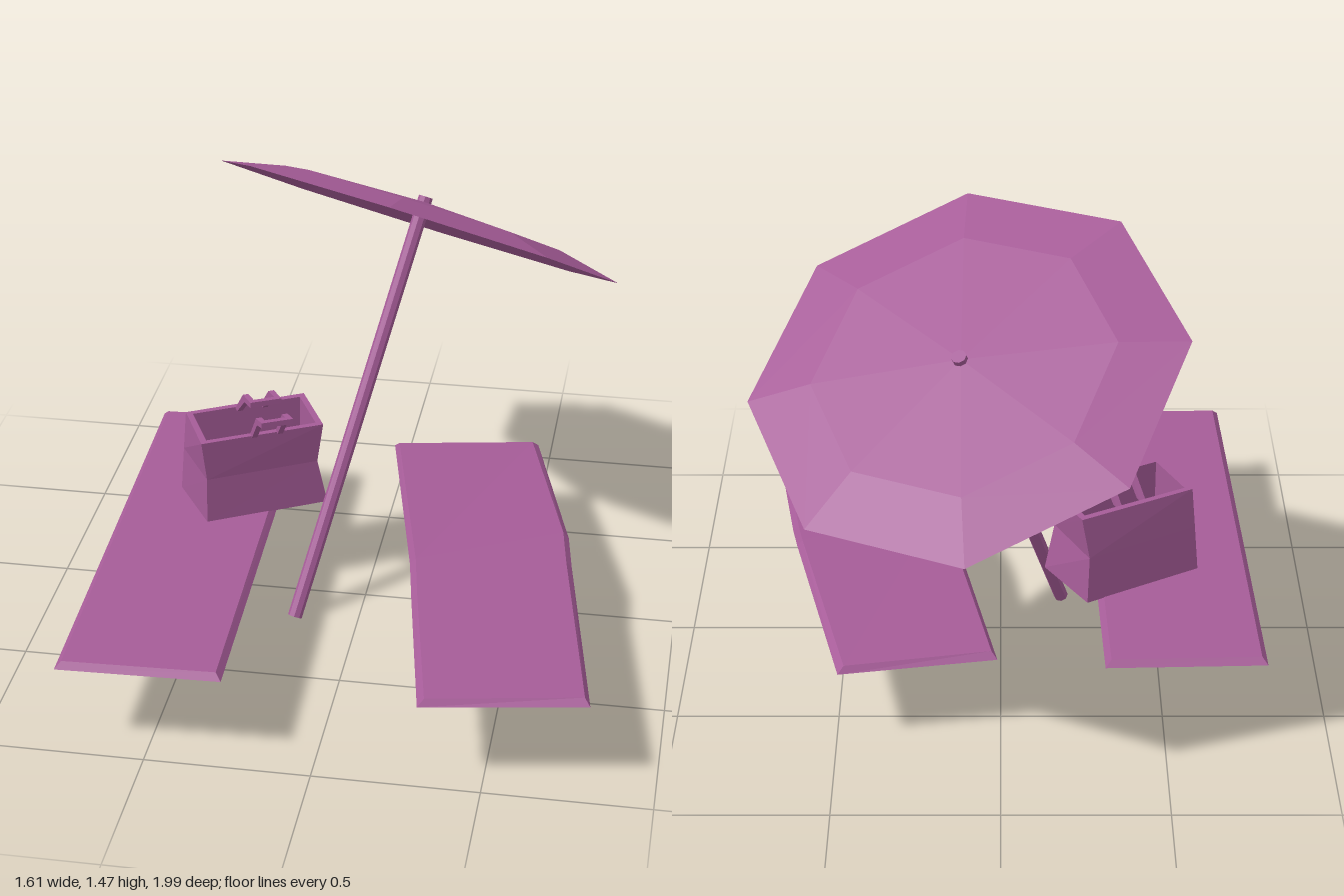
import * as THREE from 'three';

const V = (x, y, z) => new THREE.Vector3(x, y, z);

// Skin a stack of equal-length point loops and cap both ends
function loft(loops) {
  const pos = [];
  const quad = (a, b, c, d) => [a, b, c, a, c, d].forEach((p) => pos.push(...p));
  for (let i = 0; i < loops.length - 1; i++) {
    for (let j = 0; j < 4; j++) {
      const k = (j + 1) % 4;
      quad(loops[i][j], loops[i][k], loops[i + 1][k], loops[i + 1][j]);
    }
  }
  const s = loops[0], e = loops[loops.length - 1];
  quad(s[3], s[2], s[1], s[0]);
  quad(e[0], e[1], e[2], e[3]);
  const g = new THREE.BufferGeometry();
  g.setAttribute('position', new THREE.Float32BufferAttribute(pos, 3));
  g.computeVertexNormals();
  return g;
}

// Towel with bevelled edges; each station is [leftX, leftZ, rightX, rightZ, y], back to front
function towelGeometry(stations) {
  const inset = 0.018, thick = 0.02, last = stations.length - 1;
  return loft(stations.map(([lx, lz, rx, rz, y], i) => {
    const dz = i === 0 ? inset : i === last ? -inset : 0;
    return [
      [lx, y, lz], [rx, y, rz],
      [rx - inset, y + thick, rz + dz], [lx + inset, y + thick, lz + dz],
    ];
  }));
}

export function createModel() {
  const model = new THREE.Group();
  const mat = new THREE.MeshStandardMaterial({ color: 0xa65c98, flatShading: true });
  const thinMat = mat.clone();
  thinMat.side = THREE.DoubleSide;
  const add = (name, geometry, parent = model, material = mat) => {
    const mesh = new THREE.Mesh(geometry, material);
    mesh.name = name;
    parent.add(mesh);
    return mesh;
  };

  // Parasol: leaning pole and shallow eight-sided canopy
  const parasol = new THREE.Group();
  parasol.name = 'parasol';
  model.add(parasol);
  const foot = V(-0.2, 0.011, 0.18), tip = V(0.121, 1.225, -0.447);
  const axis = tip.clone().sub(foot);
  const pole = add('pole', new THREE.CylinderGeometry(0.023, 0.023, axis.length(), 8), parasol);
  pole.position.copy(foot).add(tip).multiplyScalar(0.5);
  axis.normalize();
  pole.quaternion.setFromUnitVectors(V(0, 1, 0), axis);

  const profile = [[0.667, 0], [0.46, 0.045], [0, 0.065]].map((p) => new THREE.Vector2(...p));
  const canopy = add('canopy', new THREE.LatheGeometry(profile, 8), parasol, thinMat);
  const side = axis.clone().cross(V(0, 0.305, 0.59)).normalize();
  canopy.quaternion.setFromRotationMatrix(
    new THREE.Matrix4().makeBasis(side, axis, side.clone().cross(axis)));
  canopy.position.set(0.1, 1.155, -0.41);

  // Towels: one flat, one with a fold across the middle
  add('flatTowel', towelGeometry([
    [-0.805, -0.62, -0.315, -0.635, 0.27],
    [-0.765, 0.97, -0.27, 0.955, 0.27],
  ]));
  add('foldedTowel', towelGeometry([
    [0.01, -0.56, 0.49, -0.64, 0.25],
    [0.182, 0.26, 0.655, 0.03, 0.295],
    [0.21, 0.42, 0.677, 0.16, 0.27],
    [0.31, 0.99, 0.8, 0.91, 0.27],
  ]));

  // Beach bag: pinched walls, open top with a thick rim
  const bag = new THREE.Group();
  bag.name = 'beachBag';
  model.add(bag);
  const loop = (y, pts) => pts.map(([x, z]) => [x, y, z]);
  const bottom = [[-0.625, -0.1], [-0.495, 0.105], [-0.14, -0.09], [-0.27, -0.3]];
  const middle = [[-0.612, -0.095], [-0.493, 0.098], [-0.17, -0.08], [-0.275, -0.285]];
  const top = [[-0.6, -0.09], [-0.505, 0.11], [-0.15, -0.08], [-0.25, -0.28]];
  const inner = [[-0.575, -0.082], [-0.495, 0.083], [-0.176, -0.088], [-0.258, -0.252]];
  add('bagBody', loft([
    loop(0.288, bottom), loop(0.44, middle), loop(0.575, top),
    loop(0.575, inner), loop(0.32, inner),
  ]), bag);

  // Handles: two curved side straps joined by a cross bar, both flopped forwards
  const across = V(0.45, 0, 0.89).normalize(), up = V(0, 1, 0);
  const basis = new THREE.Matrix4().makeBasis(across, up, across.clone().cross(up));
  const slab = (pts, width, offset) => {
    const shape = new THREE.Shape(pts.map((p) => new THREE.Vector2(...p)));
    return new THREE.ExtrudeGeometry(shape, { depth: width, bevelEnabled: false })
      .translate(0, 0, offset - width / 2);
  };
  const handles = [['frontHandle', -0.318, 0.002, 0.135], ['backHandle', -0.4, -0.165, 0.18]];
  for (const [name, x, z, r] of handles) {
    const handle = new THREE.Group();
    handle.name = name;
    handle.applyMatrix4(basis);
    handle.position.set(x, 0.57, z);
    bag.add(handle);
    const strap = [
      [-0.012, 0], [0.012, 0], [0.58 * r, 0.08], [r, 0.098],
      [r, 0.116], [0.5 * r, 0.1],
    ];
    for (const s of [-1, 1]) add('handleStrap', slab(strap, 0.018, s * 0.042), handle);
    const bar = [[r - 0.03, 0.093], [r, 0.098], [r, 0.116], [r - 0.03, 0.109]];
    add('handleBar', slab(bar, 0.085, 0), handle);
  }

  return model;
}
